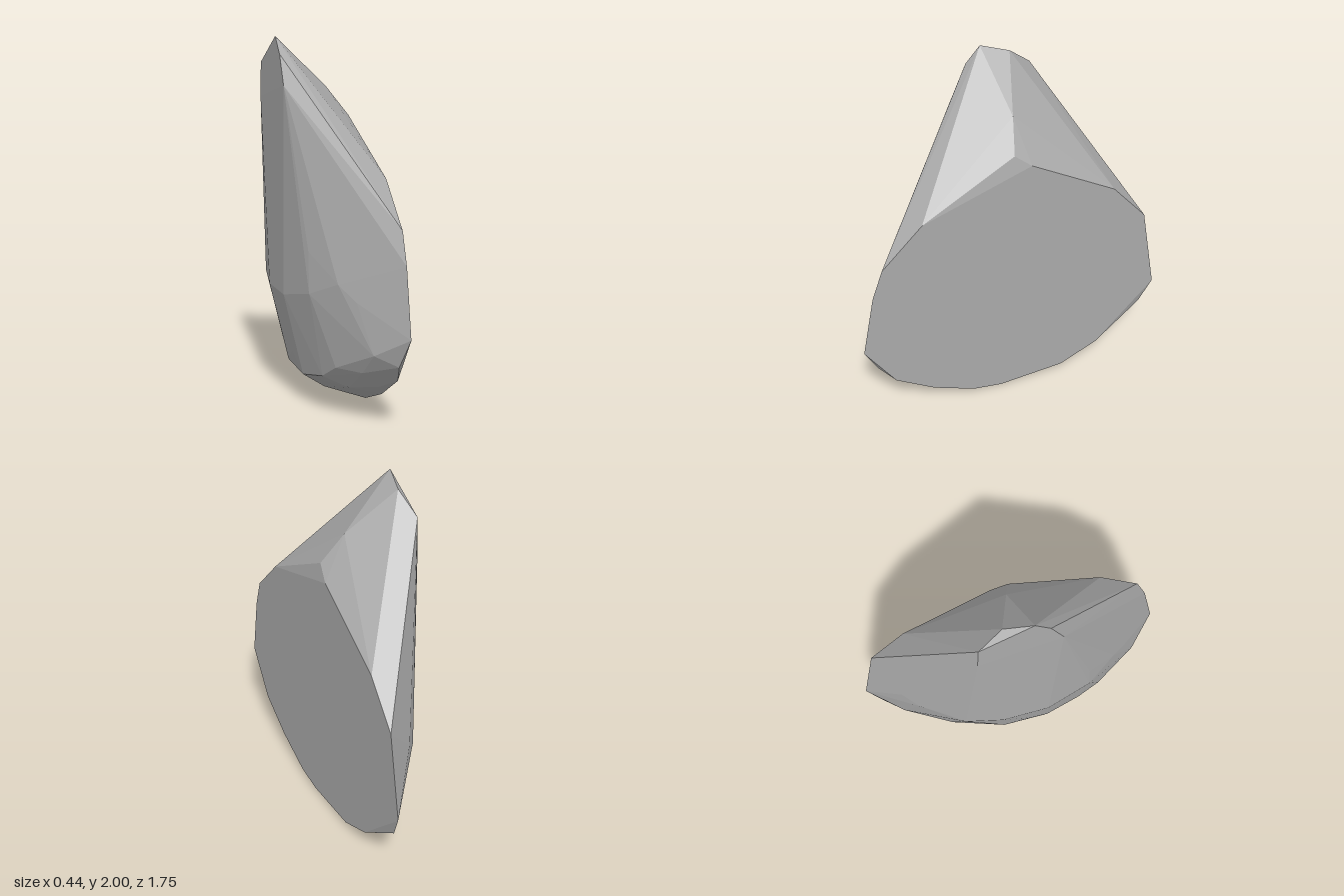
import * as THREE from 'three';
import { ConvexGeometry } from 'three/addons/geometries/ConvexGeometry.js';

// A faceted split boulder: one flat cleaved side, the rest a rounded convex shell.
export function createModel() {
  const model = new THREE.Group();
  const stone = new THREE.MeshStandardMaterial({ color: 0xaaaaaa });
  stone.name = 'stone grey';
  const points = [];
  const add = (list) => list.forEach(([x, y, z]) => points.push(new THREE.Vector3(x, y, z)));

  // Outline of the flat cleaved side (y, z) at constant x
  const cleavedRim = [
    [1.50, -0.09], [1.29, 0.52], [1.06, 0.75], [0.89, 0.81], [0.53, 0.88],
    [0.27, 0.71], [0.13, 0.49], [0.03, 0.25], [0.005, 0.08],
    [0.03, -0.30], [0.13, -0.52], [0.49, -0.87], [0.99, -0.78], [1.22, -0.58],
  ];
  add(cleavedRim.map(([y, z]) => [0.22, y, z]));

  // Peak and upper ridge
  add([
    [-0.22, 2.00, 0.02], [-0.18, 1.96, -0.13], [-0.22, 1.91, 0.10],
    [-0.22, 1.75, 0.17], [-0.22, 1.85, -0.26], [-0.22, 1.66, -0.27],
    [0.08, 1.73, -0.04], [0.20, 1.57, 0.0],
  ]);

  // Rounded front shoulder
  add([
    [-0.15, 0.90, 0.37], [-0.15, 0.68, 0.38], [-0.05, 0.76, 0.55],
    [0.02, 0.68, 0.64], [0.08, 0.42, 0.73], [0.19, 0.37, 0.80],
    [-0.04, 0.30, 0.49], [0.06, 0.30, 0.62], [0.16, 0.21, 0.60],
    [-0.07, 0.22, 0.36], [0.05, 0.17, 0.45],
  ]);

  // Rounded back shoulder
  add([
    [-0.17, 0.65, -0.36], [-0.11, 0.70, -0.46], [-0.03, 0.71, -0.59],
    [0.04, 0.78, -0.67], [0.10, 0.32, -0.68], [0.20, 0.34, -0.80],
    [0.17, 0.20, -0.64], [-0.03, 0.25, -0.42],
  ]);

  // Outer side and underside
  add([
    [-0.21, 0.62, 0.12], [-0.21, 0.62, -0.15], [-0.14, 0.28, 0.05],
    [-0.11, 0.17, 0.15], [-0.11, 0.18, -0.12], [0.03, 0.07, 0.10],
    [0.04, 0.08, -0.22], [0.20, 0.0, -0.07],
  ]);

  const rock = new THREE.Mesh(new ConvexGeometry(points), stone);
  rock.name = 'rock';
  model.add(rock);
  return model;
}
